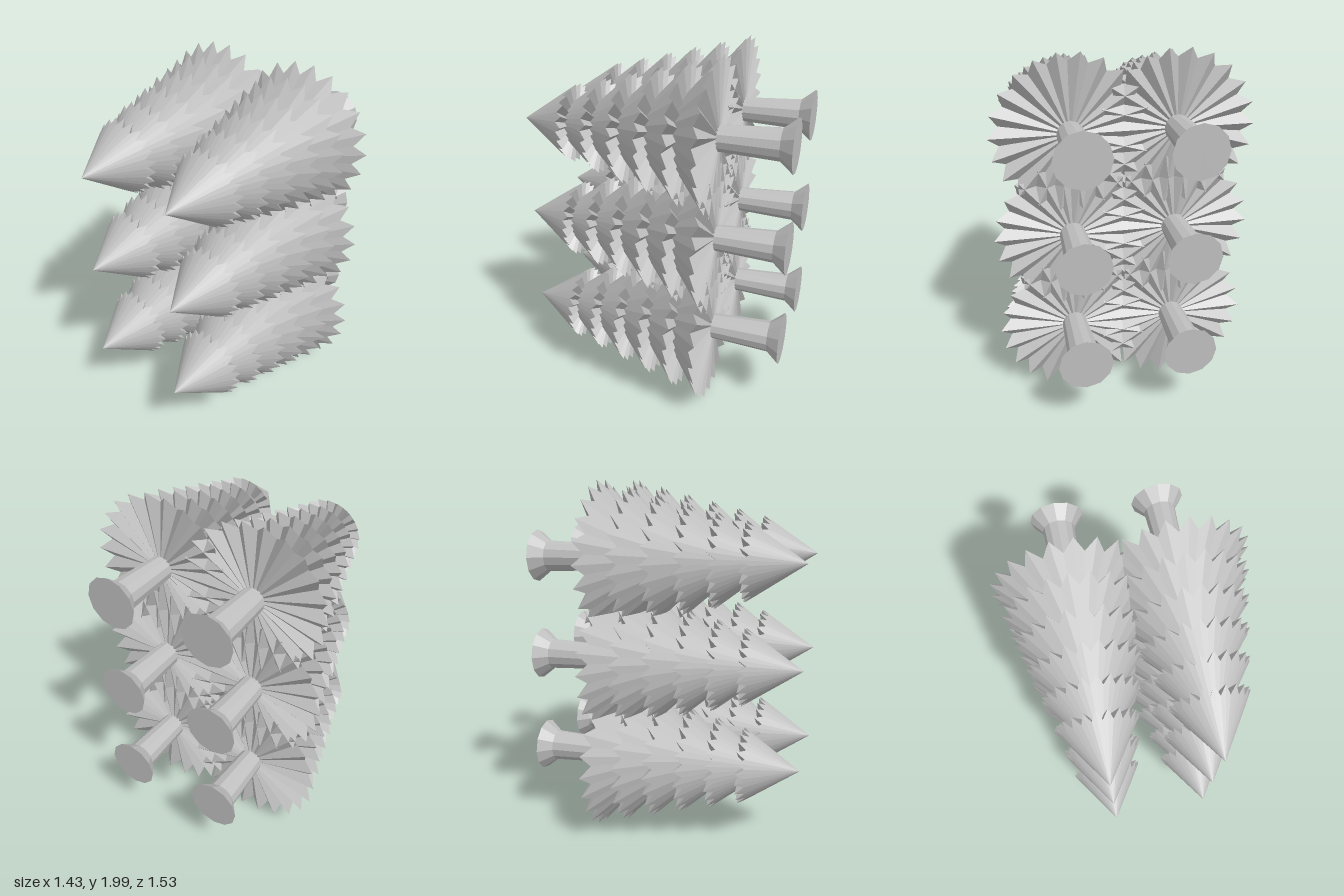
import * as THREE from 'three';

const POINTS = 22; // branch tips per tier

// Faceted normals
function faceted(geometry) {
  const g = geometry.toNonIndexed();
  g.computeVertexNormals();
  return g;
}

// Cone along +z whose rim alternates between tips and raised, pulled-in notches
function tierGeometry(radius, height, baseZ, parity) {
  const g = new THREE.ConeGeometry(radius, height, POINTS * 2, 1);
  g.rotateX(Math.PI / 2);
  g.translate(0, 0, baseZ + height / 2);
  const p = g.attributes.position;
  for (let i = 0; i < p.count; i++) {
    const x = p.getX(i), y = p.getY(i);
    if (Math.hypot(x, y) < radius * 0.5) continue; // apex and base centre stay
    const k = Math.round(Math.atan2(y, x) / (Math.PI / POINTS));
    if (Math.abs(k) % 2 !== parity) p.setXYZ(i, x * 0.865, y * 0.865, baseZ + 0.045);
  }
  return faceted(g);
}

// Cylinder section along z, from z0 (back) to z1 (front)
function trunkSection(rBack, rFront, z0, z1) {
  const g = new THREE.CylinderGeometry(rFront, rBack, z1 - z0, 12);
  g.rotateX(Math.PI / 2);
  g.translate(0, 0, (z0 + z1) / 2);
  return faceted(g);
}

export function createModel() {
  const model = new THREE.Group();
  model.name = 'pineTrees';
  const grey = new THREE.MeshStandardMaterial({ color: 0xbfbfbf });
  grey.name = 'grey';

  // Parts shared by every tree, listed front to back
  const parts = [];
  for (let i = 0; i < 6; i++) {
    const radius = 0.215 + 0.0422 * i;
    const height = 0.325 + 0.01 * i;
    const baseZ = 0.44 - 0.162 * i;
    // Tips of neighbouring tiers interleave
    parts.push(['branchTier' + (i + 1), tierGeometry(radius, height, baseZ, (i + 1) % 2)]);
  }
  parts.push(['trunk', trunkSection(0.088, 0.072, -0.695, -0.36)]);
  parts.push(['trunkFoot', trunkSection(0.147, 0.088, -0.768, -0.695)]);

  // Two columns of three trees lying with their tips to the front
  for (const x of [-0.287, 0.287]) {
    for (const y of [0.425, 1.0, 1.575]) {
      const tree = new THREE.Group();
      tree.name = 'tree';
      for (const [name, geometry] of parts) {
        const mesh = new THREE.Mesh(geometry, grey);
        mesh.name = name;
        tree.add(mesh);
      }
      tree.position.set(x, y, 0);
      model.add(tree);
    }
  }
  return model;
}
